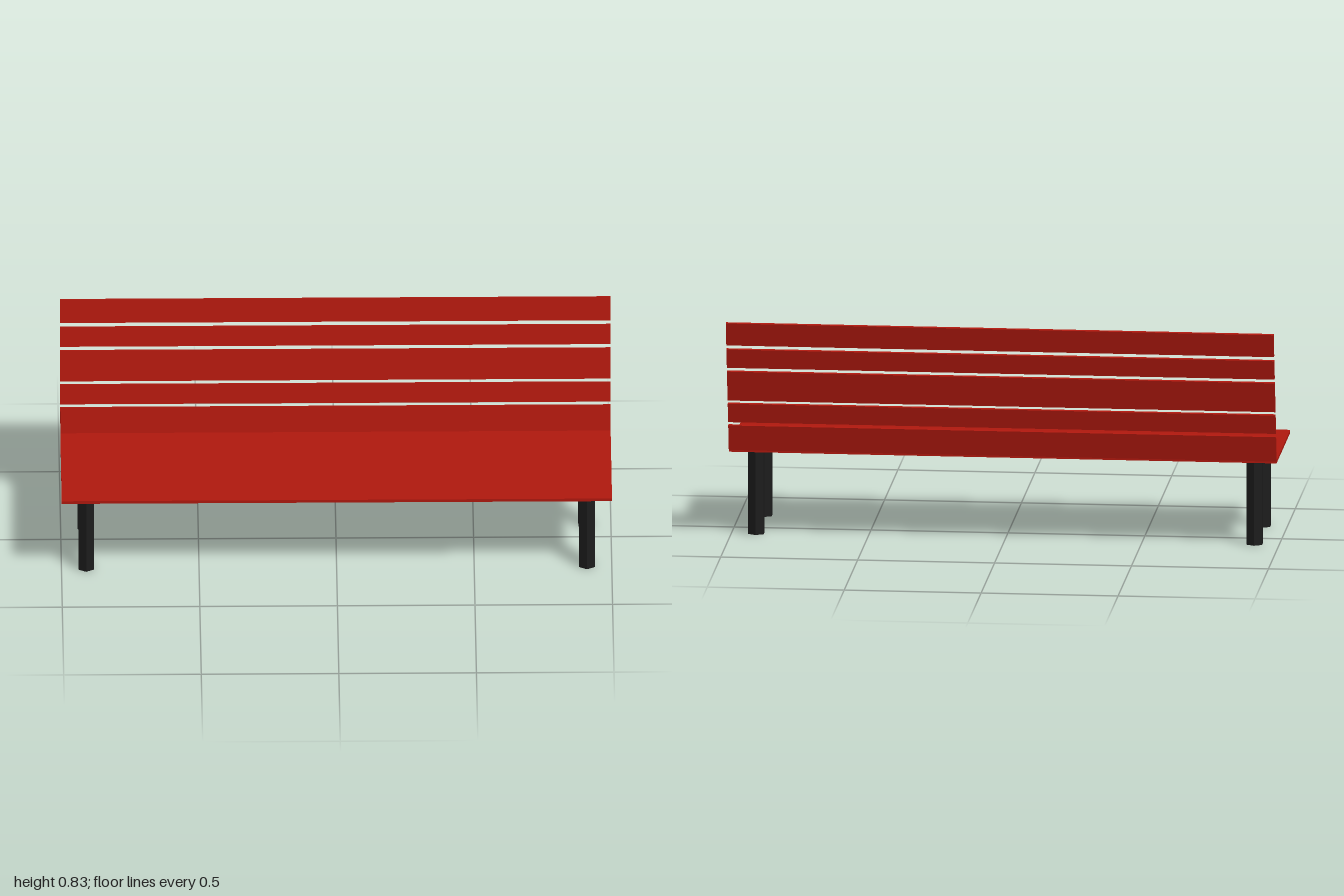
import * as THREE from 'three';

const red = new THREE.MeshStandardMaterial({ color: 0xb0180e });
const black = new THREE.MeshStandardMaterial({ color: 0x1c1c1c, flatShading: true });

const SEAT_TOP = 0.336;
const TILT = Math.atan2(0.112, 0.496); // backward lean of the backrest

function addMesh(parent, name, geometry, material, x, y, z) {
  const mesh = new THREE.Mesh(geometry, material);
  mesh.name = name;
  mesh.position.set(x, y, z);
  parent.add(mesh);
  return mesh;
}

export function createModel() {
  const bench = new THREE.Group();
  bench.name = 'bench';

  // Thin seat board
  addMesh(bench, 'seat', new THREE.BoxGeometry(2, 0.011, 0.511), red, 0, SEAT_TOP - 0.0055, 0.057);

  // Backrest: horizontal slats stacked on a leaning plane, [bottom, top] heights
  const backrest = new THREE.Group();
  backrest.name = 'backrest';
  backrest.position.set(0, 0.333, -0.194);
  backrest.rotation.x = -TILT;
  bench.add(backrest);
  const slats = [[0.333, 0.429], [0.442, 0.514], [0.527, 0.64], [0.655, 0.727], [0.743, 0.829]];
  slats.forEach(([bottom, top], i) => {
    const height = (top - bottom) / Math.cos(TILT);
    const middle = ((top + bottom) / 2 - 0.333) / Math.cos(TILT);
    addMesh(backrest, `backSlat${i + 1}`, new THREE.BoxGeometry(2, height, 0.011), red, 0, middle, 0);
  });

  // Four six-sided legs
  const legHeight = SEAT_TOP - 0.011;
  const legGeometry = new THREE.CylinderGeometry(0.033, 0.033, legHeight, 6);
  for (const [side, x] of [['Left', 0.91], ['Right', -0.91]]) {
    for (const [end, z] of [['front', 0.207], ['back', -0.092]]) {
      addMesh(bench, `${end}${side}Leg`, legGeometry, black, x, legHeight / 2, z);
    }
  }
  return bench;
}
